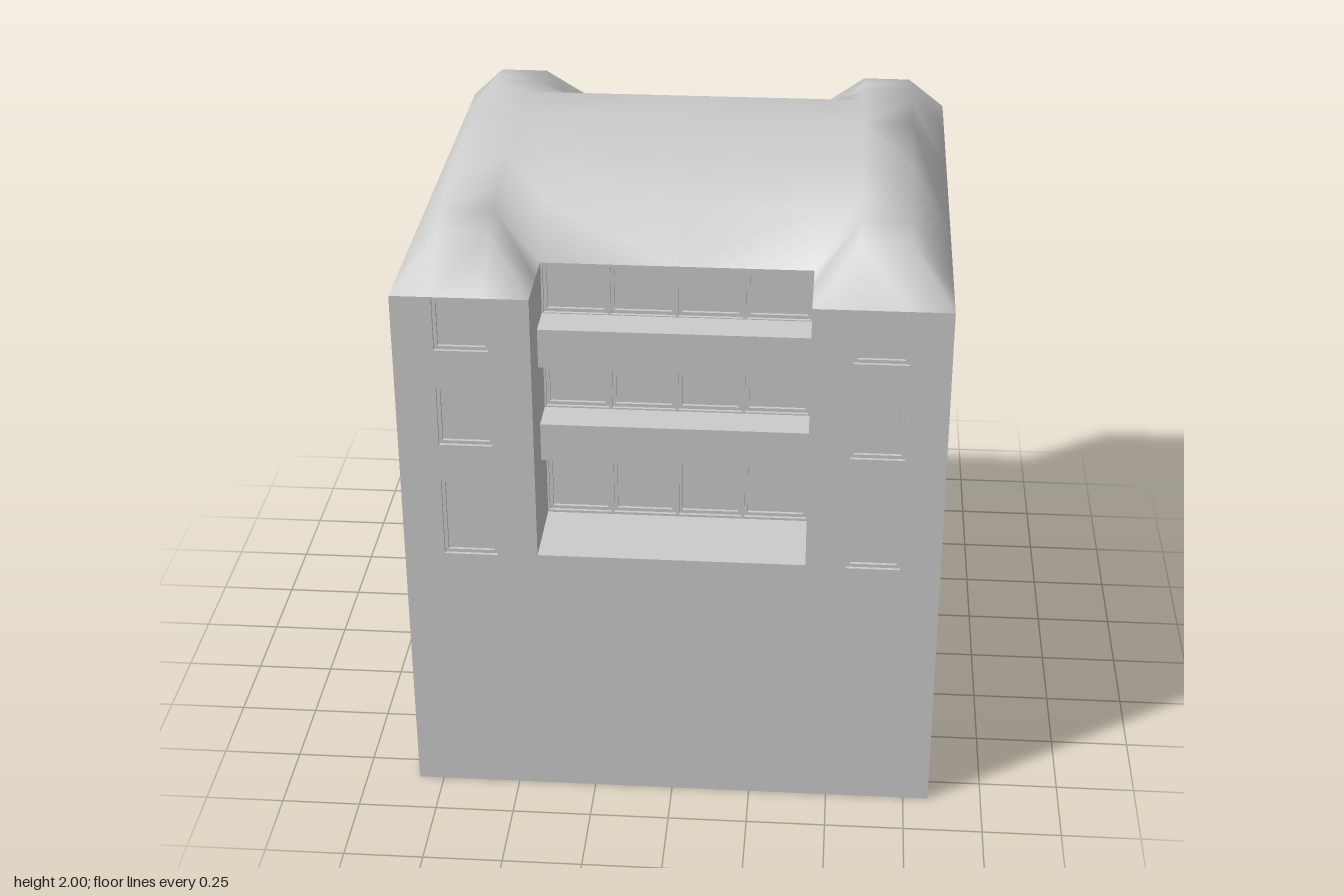
import * as THREE from 'three';

const W = 0.83, D = 0.84, EAVE = 1.745;      // half width, half depth, eaves height
const IN = 0.415, RZ = 0.575, SILL = 0.87;   // recess half width, back wall z, floor
const DOOR_W = 0.21, DOOR_H = 0.39, ENTRY_H = 0.645;
const T = 0.02;                              // shell thickness
const mat = new THREE.MeshStandardMaterial({ color: 0xcccccc, side: THREE.DoubleSide });

function add(parent, name, geometry, x = 0, y = 0, z = 0) {
  const mesh = new THREE.Mesh(geometry, mat);
  mesh.name = name;
  mesh.position.set(x, y, z);
  parent.add(mesh);
  return mesh;
}

// Box given by its limits
function block(parent, name, x0, x1, y0, y1, z0, z1) {
  return add(parent, name, new THREE.BoxGeometry(x1 - x0, y1 - y0, z1 - z0),
    (x0 + x1) / 2, (y0 + y1) / 2, (z0 + z1) / 2);
}

const outline = (pts) => new THREE.Shape(pts.map(([x, y]) => new THREE.Vector2(x, y)));
const rect = ([x0, x1, y0, y1]) => outline([[x0, y0], [x1, y0], [x1, y1], [x0, y1]]);

// Wall panel with openings; its outer face lies at z
function panel(parent, name, shape, openings, z, depth = T) {
  shape.holes.push(...openings.map(rect));
  add(parent, name, new THREE.ExtrudeGeometry(shape, { depth, bevelEnabled: false }), 0, 0, z - depth);
}

// Recessed frame and pane filling an opening
function glazing(parent, name, [x0, x1, y0, y1], z, frame = 0.011) {
  const unit = new THREE.Group();
  unit.name = name;
  parent.add(unit);
  const inner = [x0 + frame, x1 - frame, y0 + frame, y1 - frame];
  panel(unit, 'frame', rect([x0, x1, y0, y1]), [inner], z - 0.01, 0.014);
  const [a, b, c, d] = inner;
  add(unit, 'pane', new THREE.PlaneGeometry(b - a, d - c), (a + b) / 2, (c + d) / 2, z - 0.02);
}

function createFacade(name, hasEntrance) {
  const g = new THREE.Group();
  g.name = name;

  // Outer wall with the upper notch, and the entrance notch where present
  const e = hasEntrance ? [[-IN, 0], [-IN, ENTRY_H], [IN, ENTRY_H], [IN, 0]] : [];
  const wall = outline([[-W, 0], ...e, [W, 0], [W, EAVE], [IN, EAVE], [IN, SILL],
    [-IN, SILL], [-IN, EAVE], [-W, EAVE]]);
  const sideWindows = [];
  for (const [y0, y1] of [[0.865, 1.125], [1.25, 1.445], [1.57, 1.742]]) {
    sideWindows.push([0.54, 0.705, y0, y1], [-0.705, -0.54, y0, y1]);
  }
  panel(g, 'outerWall', wall, sideWindows, D);
  sideWindows.forEach((w) => glazing(g, 'sideWindow', w, D));

  // Recessed window wall with three rows of four
  const rows = [];
  for (const [y0, y1] of [[0.878, 1.12], [1.255, 1.385], [1.578, 1.738]]) {
    for (let i = 0; i < 4; i++) {
      const x = -0.414 + i * 0.207;
      rows.push([x + 0.005, x + 0.202, y0, y1]);
    }
  }
  panel(g, 'recessWall', rect([-IN, IN, SILL, EAVE]), rows, RZ);
  rows.forEach((w) => glazing(g, 'recessWindow', w, RZ));
  block(g, 'terraceFloor', -IN, IN, SILL - T, SILL, RZ - T, D);
  for (const s of [-1, 1]) {
    const x = s * (IN + T / 2);
    block(g, 'recessSide', x - T / 2, x + T / 2, SILL - T, EAVE, RZ - T, D);
  }

  // Balcony bands; the upper one has a sloping underside
  const across = (pts) => {
    const geo = new THREE.ExtrudeGeometry(outline(pts), { depth: 2 * IN, bevelEnabled: false });
    return geo.rotateY(-Math.PI / 2).translate(IN, 0, 0);
  };
  add(g, 'lowerBalcony', across([[RZ, 1.125], [0.69, 1.125], [0.69, 1.25], [RZ, 1.25]]));
  add(g, 'upperBalcony', across([[RZ, 1.39], [0.69, 1.447], [0.69, 1.575], [RZ, 1.575]]));

  // Entrance porch with a double door
  if (hasEntrance) {
    panel(g, 'porchWall', outline([[-IN, 0], [-DOOR_W, 0], [-DOOR_W, DOOR_H], [DOOR_W, DOOR_H],
      [DOOR_W, 0], [IN, 0], [IN, ENTRY_H], [-IN, ENTRY_H]]), [], RZ, 0.03);
    block(g, 'porchCeiling', -IN, IN, ENTRY_H, ENTRY_H + T, RZ - T, D);
    for (const s of [-1, 1]) {
      const x = s * (IN + T / 2);
      block(g, 'porchSide', x - T / 2, x + T / 2, 0, ENTRY_H + T, RZ - T, D);
      const c = s * DOOR_W / 2;
      glazing(g, 'doorLeaf', [c - DOOR_W / 2, c + DOOR_W / 2, 0, DOOR_H], RZ - 0.005, 0.014);
    }
  }
  return g;
}

// Roof heights for one quadrant: rows run outwards in z, columns outwards in x
function createRoof() {
  const xs = [0, IN, 0.55, 0.705, W];
  const zs = [0, 0.28, 0.44, RZ, 0.69, D];
  const crest = [2, 1.97, 1.943, 1.917, 1.895, EAVE];
  const middle = [2, 1.97, 1.895, EAVE, EAVE, EAVE];
  const mirrored = (a) => [...a.slice(1).map((v) => -v).reverse(), ...a];
  const X = mirrored(xs), Z = mirrored(zs);
  const pos = [], idx = [];
  for (const z of Z) {
    const k = zs.indexOf(Math.abs(z));
    for (const x of X) {
      const i = xs.indexOf(Math.abs(x));
      pos.push(x, i === 4 ? EAVE : i >= 2 ? crest[k] : middle[k], z);
    }
  }
  const n = X.length;
  for (let r = 0; r < Z.length - 1; r++) {
    for (let c = 0; c < n - 1; c++) {
      const cx = (X[c] + X[c + 1]) / 2, cz = (Z[r] + Z[r + 1]) / 2;
      if (Math.abs(cx) < IN && Math.abs(cz) > RZ) continue; // open above the terraces
      const a = r * n + c, b = a + 1, d = a + n, e = d + 1;
      // Diagonals follow the hips, and flip on the inner slopes
      const inner = Math.abs(cx) < 0.55;
      if ((cx * cz > 0) !== inner) idx.push(a, d, e, a, e, b);
      else idx.push(a, d, b, b, d, e);
    }
  }
  const geo = new THREE.BufferGeometry();
  geo.setAttribute('position', new THREE.Float32BufferAttribute(pos, 3));
  geo.setIndex(idx);
  geo.computeVertexNormals();
  return geo;
}

export function createModel() {
  const model = new THREE.Group();
  model.name = 'building';

  const back = createFacade('backFacade', true);
  back.rotation.y = Math.PI;
  model.add(createFacade('frontFacade', false), back);

  for (const s of [-1, 1]) {
    const x = s * (W - T / 2);
    block(model, 'sideWall', x - T / 2, x + T / 2, 0, EAVE, -D, D);
  }
  add(model, 'roof', createRoof());
  return model;
}
